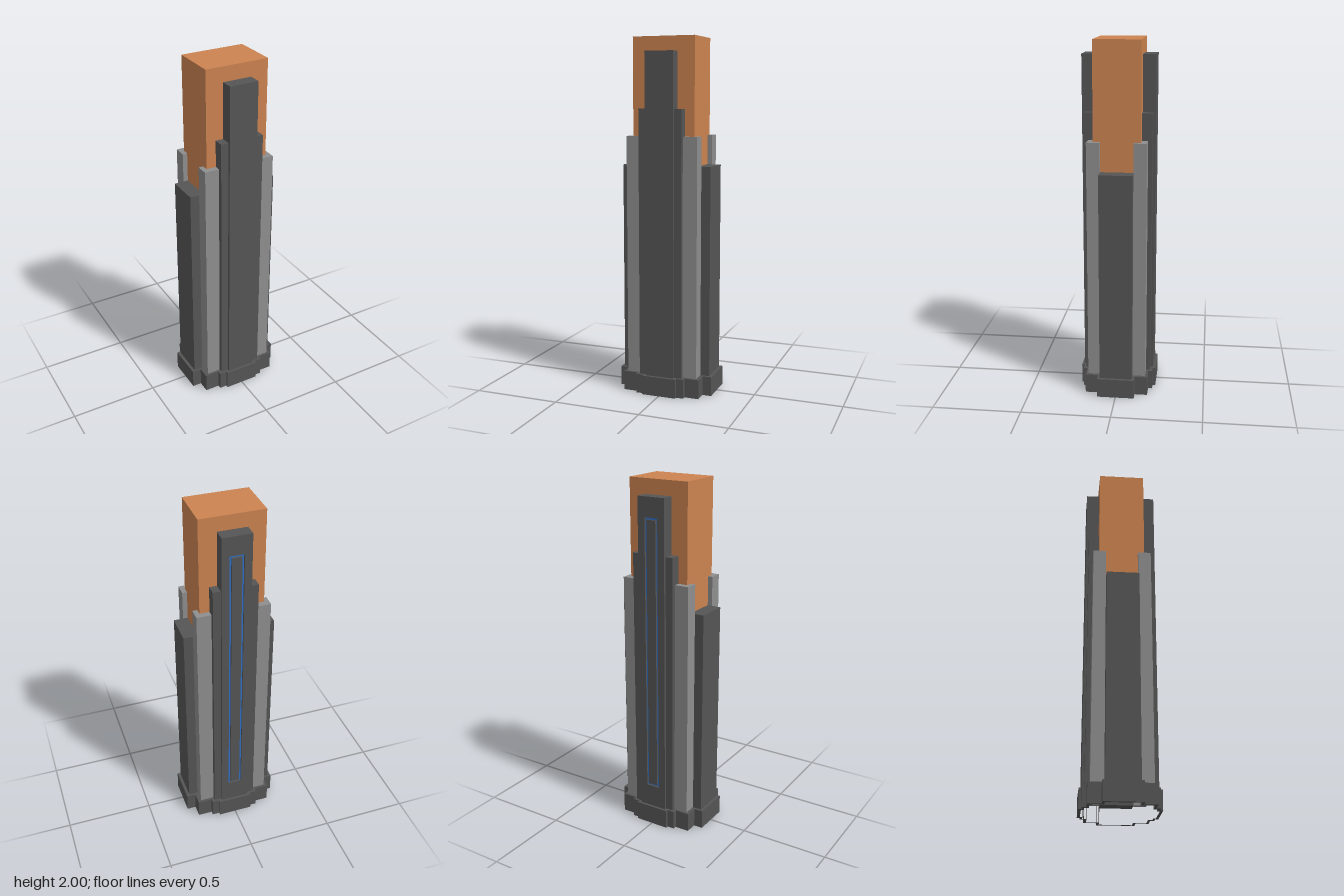
import * as THREE from 'three';

const dark = new THREE.MeshStandardMaterial({ color: 0x555555 });
const pale = new THREE.MeshStandardMaterial({ color: 0x8e8e8e });
const orange = new THREE.MeshStandardMaterial({ color: 0xcc8350 });
const blue = new THREE.MeshStandardMaterial({ color: 0x2f6fc4 });

const CORE_X = 0.18, CORE_Z = 0.13;
const FOOT = 0.09; // underside of the tower panels, inside the hollow base
const BASE_TOP = 0.11;

// Half width in x and z of each tower tier, from the side slab to the centre slab
const TIERS = [[0.26, 0.092], [0.207, 0.164], [0.125, 0.188], [0.082, 0.202]];
const BASE_TIERS = [[0.277, 0.106], [0.225, 0.178], [0.142, 0.201], [0.1, 0.217]];

export function createModel() {
  const model = new THREE.Group();

  function add(name, geometry, material) {
    const mesh = new THREE.Mesh(geometry, material);
    mesh.name = name;
    model.add(mesh);
    return mesh;
  }

  // Box given by its extents on each axis
  function block(name, material, [x0, x1], [y0, y1], [z0, z1]) {
    const g = new THREE.BoxGeometry(Math.abs(x1 - x0), y1 - y0, Math.abs(z1 - z0));
    g.translate((x0 + x1) / 2, (y0 + y1) / 2, (z0 + z1) / 2);
    return add(name, g, material);
  }

  // Upright prism from a plan outline of [x, z] points
  function prism(name, material, points, y0, y1, hole) {
    const toVectors = list => list.map(([x, z]) => new THREE.Vector2(x, -z));
    const shape = new THREE.Shape(toVectors(points));
    if (hole) shape.holes.push(new THREE.Path(toVectors(hole)));
    const g = new THREE.ExtrudeGeometry(shape, { depth: y1 - y0, bevelEnabled: false });
    g.rotateX(-Math.PI / 2).translate(0, y0, 0);
    return add(name, g, material);
  }

  // Stepped cross outline, one quadrant mirrored four ways
  function steppedOutline(tiers) {
    const quadrant = [];
    tiers.forEach(([x, z], i) => {
      if (i > 0) quadrant.push([x, tiers[i - 1][1]]);
      quadrant.push([x, z]);
    });
    const mirror = (sx, sz) => quadrant.map(([x, z]) => [x * sx, z * sz]);
    return [
      ...mirror(1, 1), ...mirror(-1, 1).reverse(),
      ...mirror(-1, -1), ...mirror(1, -1).reverse(),
    ];
  }

  // Hollow base collar and top of the tower
  prism('baseCollar', dark, steppedOutline(BASE_TIERS), 0, BASE_TOP, steppedOutline(TIERS));
  block('core', orange, [-CORE_X, CORE_X], [1.0, 2.0], [-CORE_Z, CORE_Z]);

  const [side, corner, flank, centre] = TIERS;
  for (const sx of [1, -1]) {
    // Broad slabs on the left and right
    block('sideSlab', dark, [sx * CORE_X, sx * side[0]], [FOOT, 1.295], [-side[1], side[1]]);

    for (const sz of [1, -1]) {
      // L-shaped corner posts wrapped around the core
      const post = [
        [CORE_X, side[1]], [corner[0], side[1]], corner,
        [flank[0], corner[1]], [flank[0], CORE_Z], [CORE_X, CORE_Z],
      ].map(([x, z]) => [x * sx, z * sz]);
      prism('cornerPost', pale, post, FOOT, 1.46);

      // Narrow strips beside the centre slabs
      block('flankStrip', dark, [sx * centre[0], sx * flank[0]], [FOOT, 1.61], [sz * CORE_Z, sz * flank[1]]);
    }
  }

  // Plain centre slab in front
  const [cx, cz] = centre;
  const TOP = 1.918, DEPTH = 0.012;
  block('frontSlab', dark, [-cx, cx], [FOOT, TOP], [CORE_Z, cz]);

  // Rear centre slab with a rectangular groove and a blue line at its floor
  block('rearSlab', dark, [-cx, cx], [FOOT, TOP], [-cz + DEPTH, -CORE_Z]);
  const rect = (x, y0, y1) => [[-x, y0], [x, y0], [x, y1], [-x, y1]].map(p => new THREE.Vector2(...p));
  const gx = 0.04, g0 = 0.24, g1 = 1.81, gap = 0.012;
  const face = new THREE.Shape(rect(cx, FOOT, TOP));
  face.holes.push(new THREE.Path(rect(gx, g0, g1)));
  const faceGeometry = new THREE.ExtrudeGeometry(face, { depth: DEPTH, bevelEnabled: false });
  add('rearFace', faceGeometry.translate(0, 0, -cz), dark);
  block('groovePanel', dark, [-gx + gap, gx - gap], [g0 + gap, g1 - gap], [-cz, -cz + DEPTH]);
  block('grooveLight', blue, [-gx, gx], [g0, g1], [-cz + DEPTH - 0.002, -cz + DEPTH]);

  return model;
}
